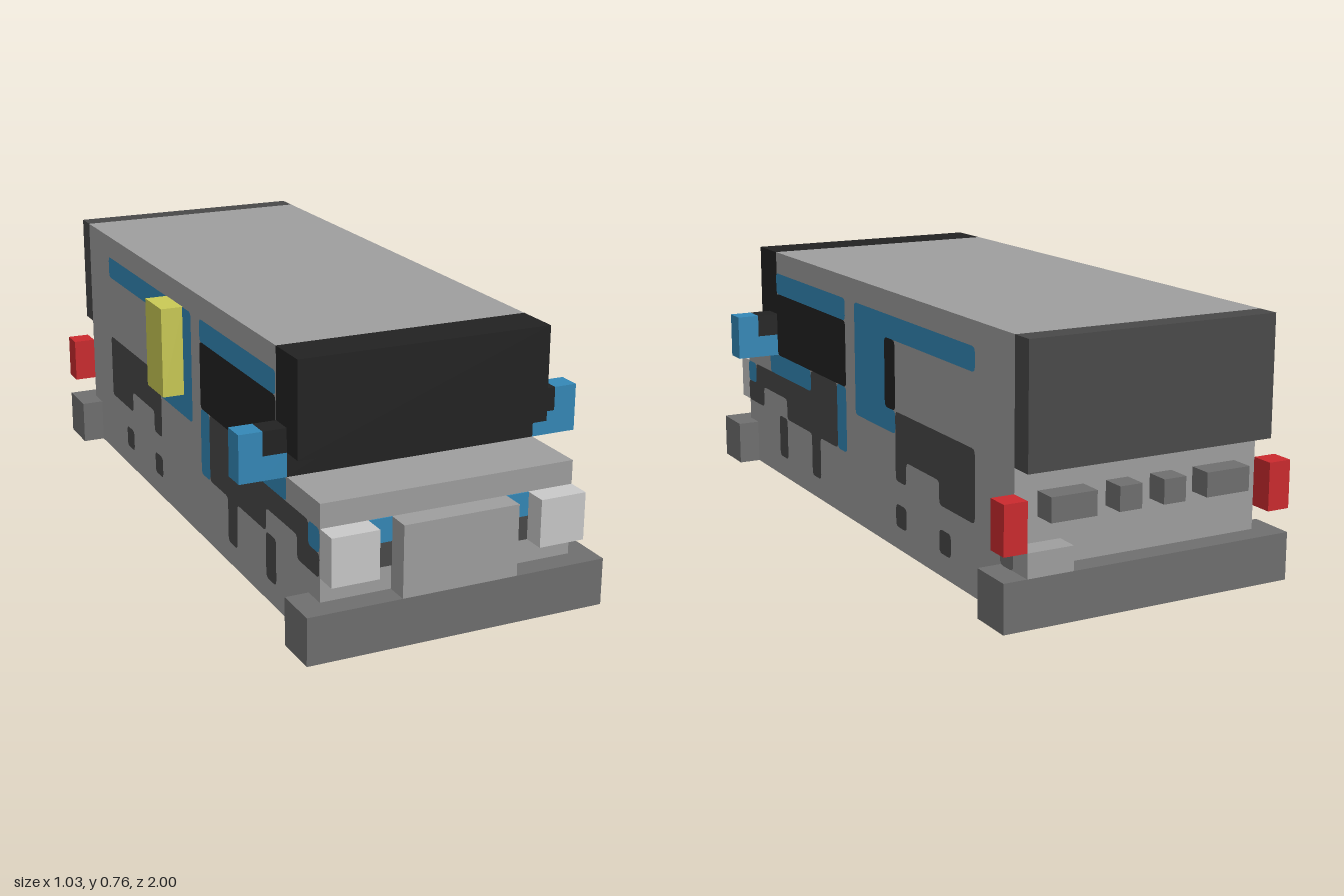
import * as THREE from 'three';

const U = 2 / 29; // block unit: the model is 29 blocks long, 11 tall
const zAt = (k) => 1 - k * U; // k counts blocks back from the front

const paint = (name, color) => {
  const m = new THREE.MeshStandardMaterial({ color });
  m.name = name;
  return m;
};

// Polygon in (x, y) with slightly rounded corners
function roundedShape(points, r) {
  const p = points.map(([x, y]) => new THREE.Vector2(x, y));
  const shape = new THREE.Shape();
  p.forEach((c, i) => {
    const prev = p[(i + p.length - 1) % p.length];
    const next = p[(i + 1) % p.length];
    const a = c.clone().add(prev.clone().sub(c).setLength(r));
    const b = c.clone().add(next.clone().sub(c).setLength(r));
    if (i === 0) shape.moveTo(a.x, a.y);
    else shape.lineTo(a.x, a.y);
    shape.quadraticCurveTo(c.x, c.y, b.x, b.y);
  });
  shape.closePath();
  return shape;
}

const rect = (k0, k1, y0, y1) => [[k0, y0], [k0, y1], [k1, y1], [k1, y0]];

export function createModel() {
  const model = new THREE.Group();
  model.name = 'van';

  const grey = paint('bodyGrey', 0x9e9e9e);
  const bumperGrey = paint('bumperGrey', 0x6f6f6f);
  const dark = paint('darkGrey', 0x494949);
  const black = paint('black', 0x222222);
  const blue = paint('blue', 0x3488b7);
  const light = paint('lightGrey', 0xc9c9c9);
  const red = paint('red', 0xcb2a2e);
  const yellow = paint('yellow', 0xcaca55);

  // Box given by block bounds
  function box(name, mat, x0, x1, y0, y1, k0, k1) {
    const geo = new THREE.BoxGeometry((x1 - x0) * U, (y1 - y0) * U, (k1 - k0) * U);
    const mesh = new THREE.Mesh(geo, mat);
    mesh.position.set(((x0 + x1) / 2) * U, ((y0 + y1) / 2) * U, zAt((k0 + k1) / 2));
    mesh.name = name;
    model.add(mesh);
  }
  function boxPair(name, mat, x0, x1, ...rest) {
    box(name + 'Left', mat, x0, x1, ...rest);
    box(name + 'Right', mat, -x1, -x0, ...rest);
  }

  // Flat painted panel on one flank, outline in (k, y) blocks
  function panel(name, mat, outline, side) {
    const pts = outline.map(([k, y]) => [-side * zAt(k), y * U]);
    const geo = new THREE.ShapeGeometry(roundedShape(pts, 0.016), 3);
    geo.rotateY((side * Math.PI) / 2);
    const mesh = new THREE.Mesh(geo, mat);
    mesh.position.x = side * (5.5 * U + 0.002);
    mesh.name = name + (side > 0 ? 'Left' : 'Right');
    model.add(mesh);
  }

  // Main body with the low hood step
  box('hood', grey, -5.5, 5.5, 0, 6, 1, 5);
  box('body', grey, -5.5, 5.5, 0, 11, 5, 28);

  // Windscreen and visor
  box('windscreen', black, -5.5, 5.5, 6, 11, 4, 5);
  box('visor', black, -5.5, 5.5, 7, 11, 3, 4);

  // Bumpers wrapping the corners
  box('frontBumper', bumperGrey, -6.5, 6.5, 0, 2, 0, 1);
  boxPair('frontBumperCorner', bumperGrey, 5.5, 6.5, 0, 2, 1, 2);
  box('rearBumper', bumperGrey, -6.5, 6.5, 0, 2, 28, 29);
  boxPair('rearBumperCorner', bumperGrey, 5.5, 6.5, 0, 2, 27, 28);

  // Grille, headlights and the painted strips between them
  box('grille', grey, -2.5, 2.5, 2, 5, 0, 1);
  boxPair('headlight', light, 3.5, 5.5, 3, 5, 0, 1);
  boxPair('frontBlueStrip', blue, 2.5, 3.5, 4, 5, 0.95, 1);
  boxPair('frontDarkStrip', dark, 2.5, 3.5, 3, 4, 0.95, 1);

  // Mirrors
  boxPair('mirrorArm', black, 5.5, 6.5, 7, 8, 4, 5);
  boxPair('mirrorBase', blue, 5.5, 6.5, 6, 7, 4, 5);
  boxPair('mirror', blue, 6.5, 7.5, 6, 8, 4, 5);

  // Rear: upper box, lights, small blocks and exhaust
  box('rearBox', dark, -5.5, 5.5, 6, 11, 28, 29);
  boxPair('tailLight', red, 5.5, 6.5, 3, 5, 28, 29);
  boxPair('rearWideBlock', bumperGrey, 2.5, 4.5, 4, 5, 28, 29);
  boxPair('rearSmallBlock', bumperGrey, 0.5, 1.5, 4, 5, 28, 29);
  box('exhaust', grey, 3.5, 5.5, 2, 3, 28, 29);

  // Yellow side box on the right flank
  box('sideBox', yellow, -6.5, -5.5, 6, 10, 15, 17);

  // Painted flanks
  const frontDark = [[1, 3], [1, 4], [2, 4], [2, 5], [9, 5], [9, 6], [12, 6], [12, 3],
    [10, 3], [10, 1], [9, 1], [9, 3], [6, 3], [6, 4], [3, 4], [3, 3]];
  const rearDark = [[18, 3], [18, 6], [25, 6], [25, 3], [22, 3], [22, 4], [19, 4], [19, 3]];
  const door = [[14, 5], [14, 10], [25, 10], [25, 9], [17, 9], [17, 6], [18, 6], [18, 5]];
  for (const side of [1, -1]) {
    panel('sideWindow', black, rect(5, 13, 6, 9), side);
    panel('frontStripe', blue, rect(5, 13, 9, 10), side);
    panel('doorStripe', blue, door, side);
    panel('doorWindow', black, rect(17, 18, 6, 9), side);
    panel('hoodStripe', blue, rect(4, 9, 5, 6), side);
    panel('pillarStripe', blue, rect(12, 13, 3, 6), side);
    panel('cornerStripe', blue, rect(1, 2, 4, 5), side);
    panel('frontDarkPanel', dark, frontDark, side);
    panel('frontSlot', dark, rect(5, 6, 1, 3), side);
    panel('rearDarkPanel', dark, rearDark, side);
    panel('rearSlotA', dark, rect(18, 19, 1, 2), side);
    panel('rearSlotB', dark, rect(22, 23, 1, 2), side);
  }
  panel('exhaustSpot', bumperGrey, rect(27, 28, 2, 3), 1);

  return model;
}
